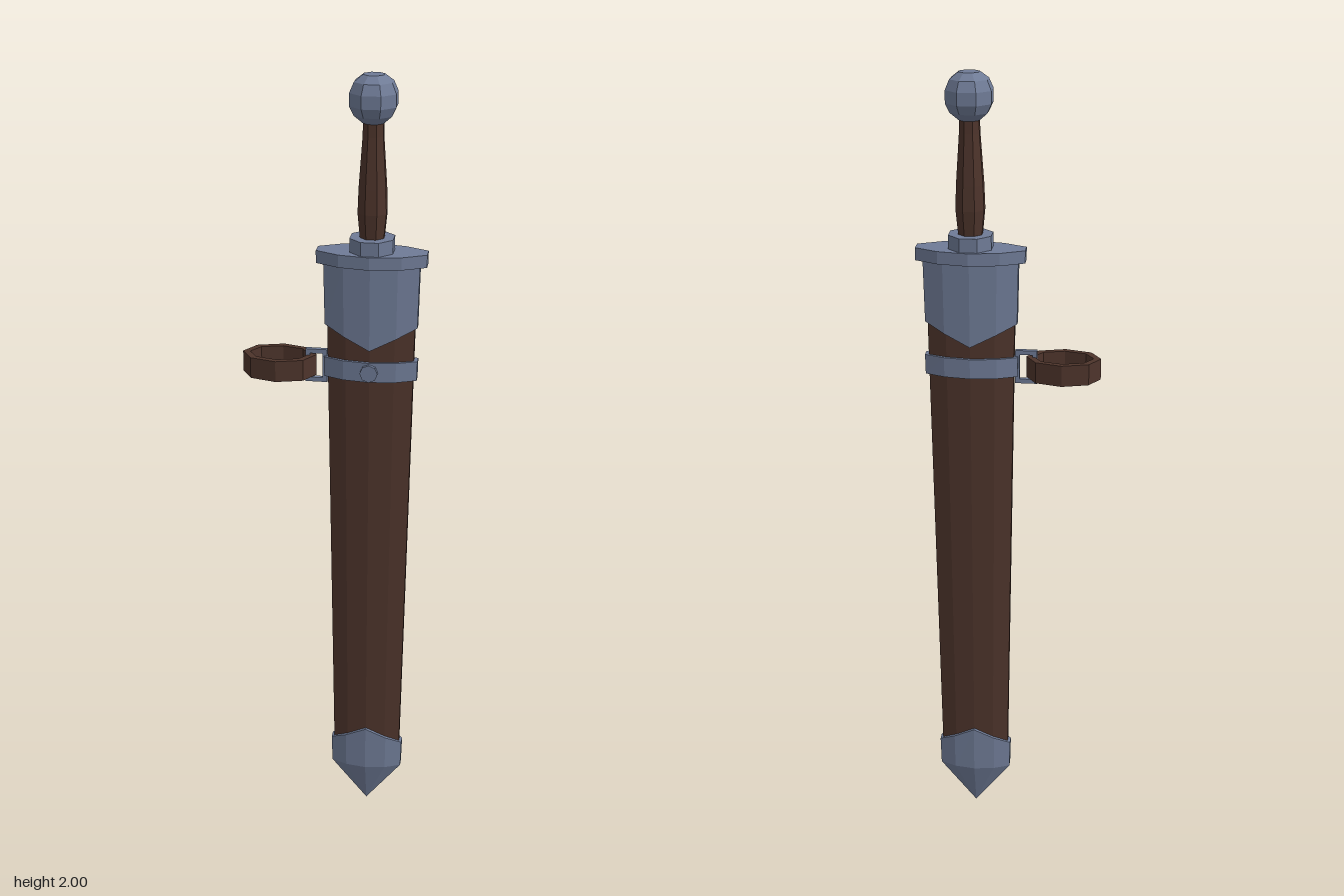
import * as THREE from 'three';

const metal = new THREE.MeshStandardMaterial({ color: 0x6f7b96, flatShading: true });
metal.name = 'steel';
const leather = new THREE.MeshStandardMaterial({ color: 0x4d342b, flatShading: true });
leather.name = 'brown leather';

const CX = 0.092; // sword axis

// Ten-sided flattened section shared by guard, sheath and fittings (unit half sizes)
const SECTION = [
  [1, 0.3], [0.565, 0.79], [0, 1], [-0.565, 0.79], [-1, 0.3],
  [-1, -0.3], [-0.565, -0.79], [0, -1], [0.565, -0.79], [1, -0.3],
];

// Loft the section through levels [y, halfWidth, halfDepth, edgeRise], bottom to top
function loft(levels) {
  const n = SECTION.length, pos = [], index = [];
  for (const [y, w, d, rise = 0] of levels)
    for (const [u, v] of SECTION) pos.push(u * w, y + rise * Math.abs(u), v * d);
  for (let k = 0; k < levels.length - 1; k++)
    for (let i = 0; i < n; i++) {
      const j = (i + 1) % n, a = k * n + i, b = k * n + j;
      index.push(a, a + n, b, b, a + n, b + n);
    }
  // End caps
  const last = (levels.length - 1) * n, c = levels.length * n;
  pos.push(0, levels[0][0], 0, 0, levels[levels.length - 1][0], 0);
  for (let i = 0; i < n; i++) {
    const j = (i + 1) % n;
    index.push(c, i, j, c + 1, last + j, last + i);
  }
  const g = new THREE.BufferGeometry();
  g.setAttribute('position', new THREE.Float32BufferAttribute(pos, 3));
  g.setIndex(index);
  const flat = g.toNonIndexed();
  flat.computeVertexNormals();
  return flat;
}

// Eight-sided turned part; profile is [apothem, y], flats facing the axes
function turned(profile) {
  const k = 1 / Math.cos(Math.PI / 8);
  return new THREE.LatheGeometry(profile.map(([r, y]) => new THREE.Vector2(r * k, y)), 8, Math.PI / 8);
}

export function createModel() {
  const group = new THREE.Group();
  const add = (name, geometry, material, x = CX, y = 0, z = 0) => {
    const m = new THREE.Mesh(geometry, material);
    m.name = name;
    m.position.set(x, y, z);
    group.add(m);
    return m;
  };

  // Scabbard
  add('sheath', loft([[0.14, 0.088, 0.028], [1.54, 0.109, 0.035]]), leather);
  add('sheathTip', loft([[0, 0, 0], [0.125, 0.094, 0.036], [0.25, 0.096, 0.037, -0.05]]), metal);
  add('sheathThroat', loft([[1.345, 0.113, 0.04, 0.055], [1.556, 0.116, 0.042]]), metal);
  add('hangerBand', loft([[1.265, 0.114, 0.042], [1.315, 0.115, 0.042]]), metal);
  add('bandRivet', new THREE.CylinderGeometry(0.022, 0.022, 0.016, 8), metal, CX, 1.29, 0.042).rotation.x = Math.PI / 2;

  // Hilt
  add('guard', loft([[1.555, 0.133, 0.06], [1.586, 0.133, 0.06]]), metal);
  add('collar', turned([[0, 1.584], [0.052, 1.584], [0.052, 1.62], [0, 1.62]]), metal);
  add('grip', turned([[0.028, 1.615], [0.034, 1.68], [0.032, 1.74], [0.024, 1.86], [0.023, 1.905]]), leather);
  add('pommel', turned([[0, 1.89], [0.024, 1.89], [0.044, 1.908], [0.054, 1.93], [0.054, 1.96],
    [0.044, 1.984], [0.024, 2], [0, 2]]), metal);

  // Leather belt loop: open eight-sided oval
  const oval = (Type, rx, rz) => {
    const s = new Type();
    for (let i = 0; i < 8; i++) {
      const a = (i * Math.PI) / 4;
      s[i ? 'lineTo' : 'moveTo'](Math.cos(a) * rx, Math.sin(a) * rz);
    }
    s.closePath();
    return s;
  };
  const loop = oval(THREE.Shape, 0.092, 0.064);
  loop.holes.push(oval(THREE.Path, 0.074, 0.048));
  add('beltLoop', new THREE.ExtrudeGeometry(loop, { depth: 0.053, bevelEnabled: false }), leather, -0.135, 1.315)
    .rotation.x = Math.PI / 2;

  // Square link joining the loop to the band
  const link = new THREE.Shape([[-0.07, 1.246], [-0.016, 1.246], [-0.016, 1.331], [-0.07, 1.331]]
    .map(([x, y]) => new THREE.Vector2(x, y)));
  link.holes.push(new THREE.Path([[-0.059, 1.257], [-0.059, 1.32], [-0.027, 1.32], [-0.027, 1.257]]
    .map(([x, y]) => new THREE.Vector2(x, y))));
  add('link', new THREE.ExtrudeGeometry(link, { depth: 0.012, bevelEnabled: false }), metal, 0, 0, -0.006);

  return group;
}
